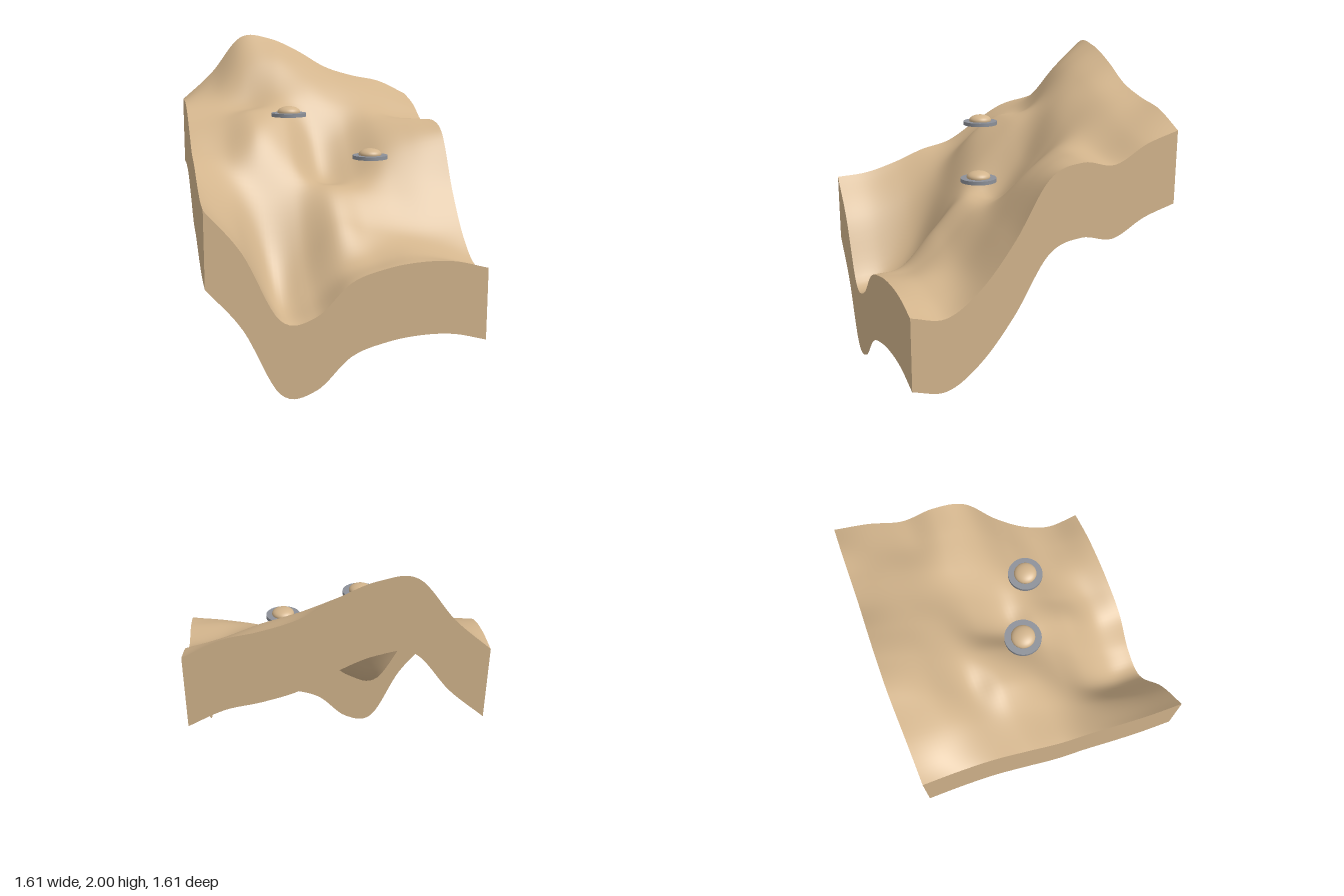
import * as THREE from 'three';

const HALF = 0.805;   // half the width of the land
const SEG = 64;       // grid divisions per side
const SKIRT = 0.43;   // height of the side walls

// Ground heights: rows run back to front, columns from -x to +x
const HEIGHTS = [
  [1.56, 1.74, 1.98, 1.975, 1.89, 1.775, 1.712, 1.67, 1.575],
  [1.56, 1.64, 1.80, 1.83, 1.775, 1.705, 1.645, 1.57, 1.512],
  [1.52, 1.53, 1.545, 1.61, 1.60, 1.55, 1.52, 1.45, 1.41],
  [1.41, 1.44, 1.51, 1.48, 1.30, 1.325, 1.42, 1.445, 1.44],
  [1.29, 1.29, 1.365, 1.28, 1.095, 1.14, 1.27, 1.33, 1.365],
  [1.24, 1.13, 1.04, 1.03, 1.075, 1.05, 1.04, 1.05, 1.04],
  [1.165, 0.98, 0.69, 0.72, 0.895, 0.855, 0.82, 0.80, 0.79],
  [1.11, 0.88, 0.505, 0.535, 0.69, 0.725, 0.75, 0.715, 0.655],
  [1.095, 0.85, 0.465, 0.467, 0.65, 0.72, 0.747, 0.74, 0.69],
];

// Smooth curve through evenly spaced values, t from 0 to 1
function smoothAt(values, t) {
  const n = values.length - 1;
  const i = Math.min(Math.floor(t * n), n - 1);
  const f = t * n - i;
  const b = values[i], c = values[i + 1];
  const a = i > 0 ? values[i - 1] : 2 * b - c;
  const d = i + 2 <= n ? values[i + 2] : 2 * c - b;
  return b + 0.5 * f * (c - a + f * (2 * a - 5 * b + 4 * c - d + f * (3 * (b - c) + d - a)));
}

function heightAt(x, z) {
  const u = THREE.MathUtils.clamp((x + HALF) / (2 * HALF), 0, 1);
  const v = THREE.MathUtils.clamp((z + HALF) / (2 * HALF), 0, 1);
  return smoothAt(HEIGHTS.map((row) => smoothAt(row, u)), v);
}

// Rolling top surface
function makeGround(material) {
  const geo = new THREE.PlaneGeometry(2 * HALF, 2 * HALF, SEG, SEG).rotateX(-Math.PI / 2);
  const p = geo.attributes.position;
  for (let i = 0; i < p.count; i++) p.setY(i, heightAt(p.getX(i), p.getZ(i)));
  geo.computeVertexNormals();
  const mesh = new THREE.Mesh(geo, material);
  mesh.name = 'ground';
  return mesh;
}

// One side wall whose lower rim follows the ground edge
function makeWall(name, turn, material) {
  const geo = new THREE.PlaneGeometry(2 * HALF, 1, SEG, 1).translate(0, 0, HALF).rotateY(turn);
  const p = geo.attributes.position;
  for (let i = 0; i < p.count; i++) {
    const drop = p.getY(i) > 0 ? 0 : SKIRT;
    p.setY(i, heightAt(p.getX(i), p.getZ(i)) - drop);
  }
  const mesh = new THREE.Mesh(geo, material);
  mesh.name = name;
  return mesh;
}

// Hovering saucer: flat disc with a flattened dome
function makeSaucer(x, y, z, discMaterial, domeMaterial) {
  const saucer = new THREE.Group();
  saucer.name = 'saucer';
  const disc = new THREE.Mesh(new THREE.CylinderGeometry(0.107, 0.107, 0.022, 48), discMaterial);
  disc.name = 'saucerDisc';
  const dome = new THREE.Mesh(new THREE.SphereGeometry(0.07, 32, 20).scale(1, 0.5, 1), domeMaterial);
  dome.name = 'saucerDome';
  dome.position.y = 0.017;
  saucer.add(disc, dome);
  saucer.position.set(x, y, z);
  return saucer;
}

export function createModel() {
  const sand = new THREE.MeshStandardMaterial({ color: 0xd2b48c, side: THREE.DoubleSide });
  sand.name = 'sand';
  const grey = new THREE.MeshStandardMaterial({ color: 0x8c9098 });
  grey.name = 'grey metal';

  const model = new THREE.Group();
  model.name = 'landscape';
  model.add(makeGround(sand));
  ['frontWall', 'leftWall', 'backWall', 'rightWall'].forEach((name, i) => {
    model.add(makeWall(name, i * Math.PI / 2, sand));
  });
  model.add(makeSaucer(-0.203, 1.512, 0, grey, sand));
  model.add(makeSaucer(0.265, 1.262, 0.2, grey, sand));
  return model;
}
